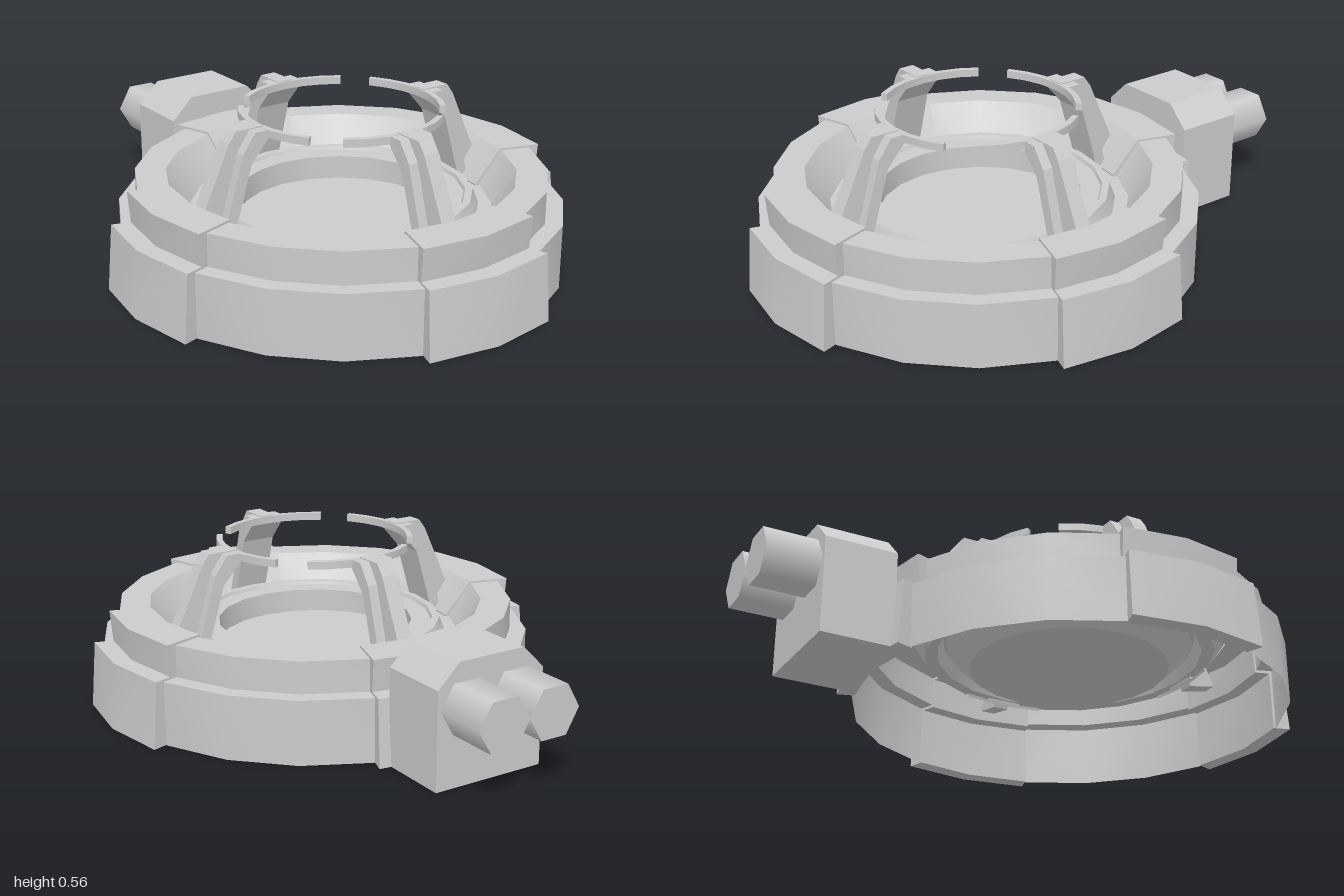
import * as THREE from 'three';
import { toCreasedNormals } from 'three/addons/utils/BufferGeometryUtils.js';

const material = new THREE.MeshStandardMaterial({ color: 0xcccccc, side: THREE.DoubleSide });
const points = (list) => list.map(([x, y]) => new THREE.Vector2(x, y));

function add(parent, name, geometry) {
  const mesh = new THREE.Mesh(geometry, material);
  mesh.name = name;
  parent.add(mesh);
  return mesh;
}

// 20-sided turned surface from a (radius, height) profile
const turned = (profile) => toCreasedNormals(new THREE.LatheGeometry(points(profile), 20), 0.4);

// Solid arc: a (radius, height) outline swept around y, centred on +x
function sweep(outline, angle, steps) {
  const geometry = new THREE.ExtrudeGeometry(new THREE.Shape(points(outline)), { depth: 1, steps, bevelEnabled: false });
  const p = geometry.attributes.position;
  for (let i = 0; i < p.count; i++) {
    const r = p.getX(i), a = (p.getZ(i) - 0.5) * angle;
    p.setXYZ(i, r * Math.cos(a), p.getY(i), r * Math.sin(a));
  }
  return toCreasedNormals(geometry, 0.5);
}

// Straight slab: a (radius, height) outline with a width centred on z = 0
function slab(outline, width) {
  return new THREE.ExtrudeGeometry(new THREE.Shape(points(outline)), { depth: width, bevelEnabled: false })
    .translate(0, 0, -width / 2);
}

export function createModel() {
  const model = new THREE.Group();
  model.name = 'ringBaseWithClaws';

  // Everything round is centred ahead of the rear connector
  const round = new THREE.Group();
  round.name = 'roundBase';
  round.position.z = 0.195;
  model.add(round);

  // Stepped shell with a trough, a raised rim and a straight-walled well
  add(round, 'baseShell', turned([
    [0.753, 0], [0.753, 0.22], [0.695, 0.22], [0.695, 0.33], [0.59, 0.33], [0.51, 0.21],
    [0.465, 0.21], [0.445, 0.262], [0.42, 0.262], [0.415, 0.25], [0.345, 0.25], [0.345, 0.168], [0, 0.168],
  ]));

  // Tapered outside of the well
  add(round, 'wellUnderside', turned([[0, 0.16], [0.35, 0.16], [0.435, 0.24]]));

  // Four sides: clamp over the shell, claw and holding arc
  const clamp = [
    [0.805, 0], [0.787, 0.228], [0.722, 0.228], [0.731, 0.338], [0.587, 0.338], [0.495, 0.215],
    [0.5, 0.2], [0.59, 0.32], [0.685, 0.32], [0.69, 0.21], [0.742, 0.21], [0.745, 0],
  ];
  const rib = [[0.33, 0.557], [0.435, 0.557], [0.462, 0.52], [0.605, 0.21], [0.5, 0.19], [0.405, 0.45], [0.33, 0.535]];
  const rails = [[0.33, 0.553], [0.385, 0.553], [0.432, 0.487], [0.51, 0.22], [0.475, 0.2], [0.4, 0.45], [0.33, 0.53]];
  const arc = [[0.325, 0.528], [0.346, 0.528], [0.346, 0.554], [0.325, 0.554]];
  for (let i = 0; i < 4; i++) {
    const side = new THREE.Group();
    side.name = 'side' + (i + 1);
    side.rotation.y = i * Math.PI / 2;
    round.add(side);
    add(side, 'clamp', sweep(clamp, Math.PI * 0.195, 2));
    add(side, 'clawRib', slab(rib, 0.056));
    add(side, 'clawRails', slab(rails, 0.126));
    add(side, 'holdingArc', sweep(arc, Math.PI * 0.4, 6));
  }

  // Rear connector box with chamfered top corners
  const box = new THREE.Shape(points([[-0.202, 0], [0.202, 0], [0.202, 0.33], [0.122, 0.408], [-0.122, 0.408], [-0.202, 0.33]]));
  add(model, 'rearBox', new THREE.ExtrudeGeometry(box, { depth: 0.25, bevelEnabled: false })).position.z = -0.815;

  // Two six-sided pipes, corners touching in the middle
  for (const x of [-0.095, 0.095]) {
    const pipe = new THREE.CylinderGeometry(0.095, 0.095, 0.2, 6).rotateY(Math.PI / 2).rotateX(Math.PI / 2);
    add(model, x > 0 ? 'leftPipe' : 'rightPipe', pipe).position.set(x, 0.26, -0.9);
  }
  return model;
}
